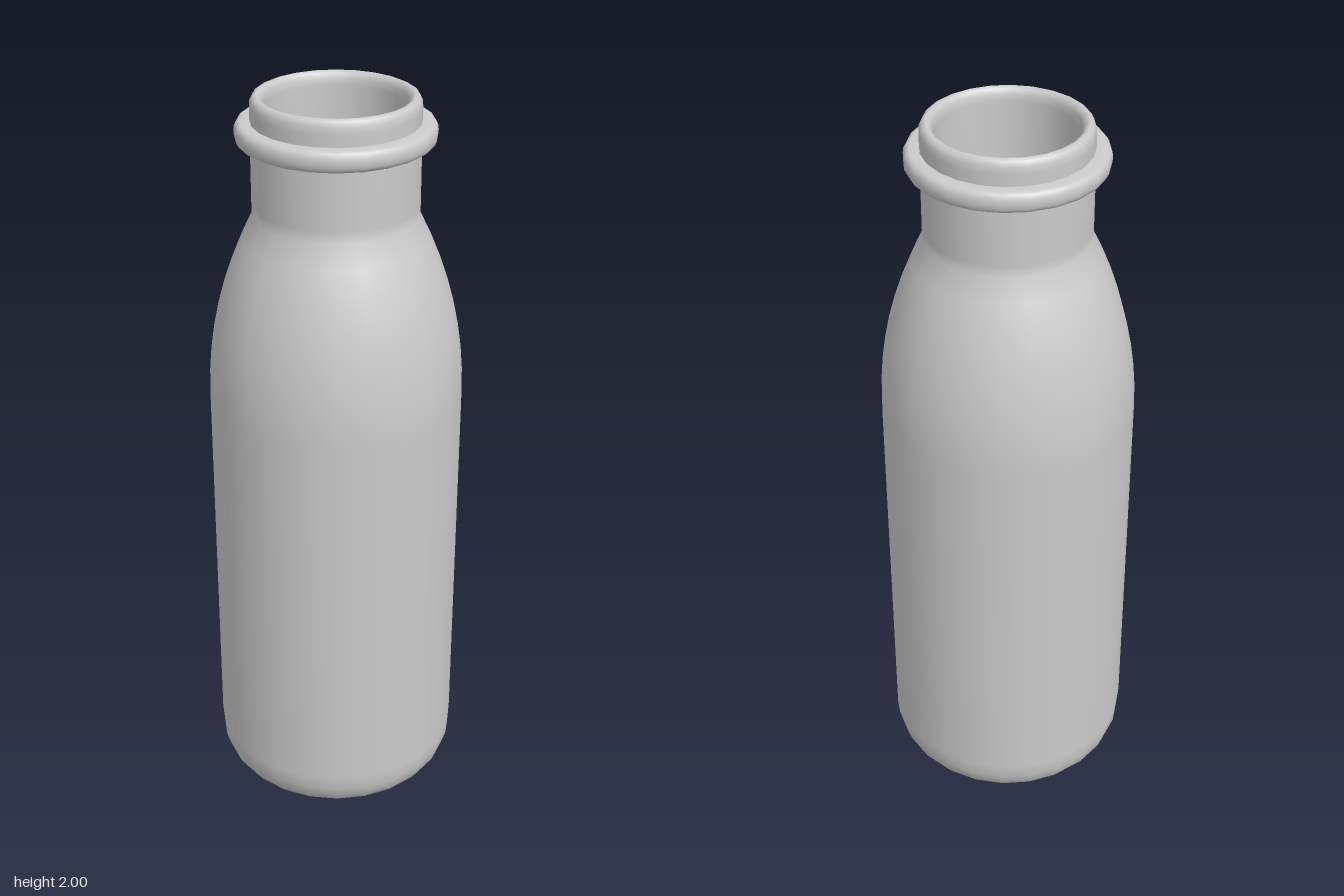
import * as THREE from 'three';

const SIDES = 24;
const WALL = 0.035;
const material = new THREE.MeshStandardMaterial({ color: 0xcccccc });

const toPoints = (pairs) => pairs.map(([r, y]) => new THREE.Vector2(r, y));

function lathe(name, points) {
  const mesh = new THREE.Mesh(new THREE.LatheGeometry(points, SIDES), material);
  mesh.name = name;
  return mesh;
}

// Shoulder curve from the straight body up to the neck, moved inward by an inset
function shoulder(inset) {
  const [a, b, c] = toPoints([[0.338 - inset, 1.18], [0.338 - inset, 1.45], [0.215 - inset, 1.69]]);
  return new THREE.QuadraticBezierCurve(a, b, c).getPoints(8);
}

export function createModel() {
  const bottle = new THREE.Group();
  bottle.name = 'bottle';

  // Outer wall: flat base, rounded heel, straight body, shoulder and neck
  const outer = [
    ...toPoints([[0, 0], [0.26, 0], [0.278, 0.003], [0.303, 0.018], [0.322, 0.044], [0.334, 0.08], [0.338, 0.125]]),
    ...shoulder(0),
    ...toPoints([[0.215, 1.72], [0.215, 1.965]]),
  ];

  // Rounded lip
  const lip = toPoints([[0.214, 1.983], [0.208, 1.995], [0.198, 2], [0.188, 1.995], [0.182, 1.983]]);

  // Inner wall down to the inside floor
  const inner = [
    ...toPoints([[0.18, 1.965], [0.18, 1.72]]),
    ...shoulder(WALL).reverse(),
    ...toPoints([[0.338 - WALL, 0.14], [0.295, 0.085], [0.275, 0.05], [0.245, WALL], [0, WALL]]),
  ];
  bottle.add(lathe('glassBody', [...outer, ...lip, ...inner]));

  // Rounded collar around the neck
  const collar = toPoints([
    [0.213, 1.88], [0.24, 1.88], [0.249, 1.885], [0.254, 1.895], [0.255, 1.907],
    [0.254, 1.919], [0.249, 1.929], [0.24, 1.934], [0.213, 1.934],
  ]);
  bottle.add(lathe('neckCollar', collar));

  return bottle;
}
